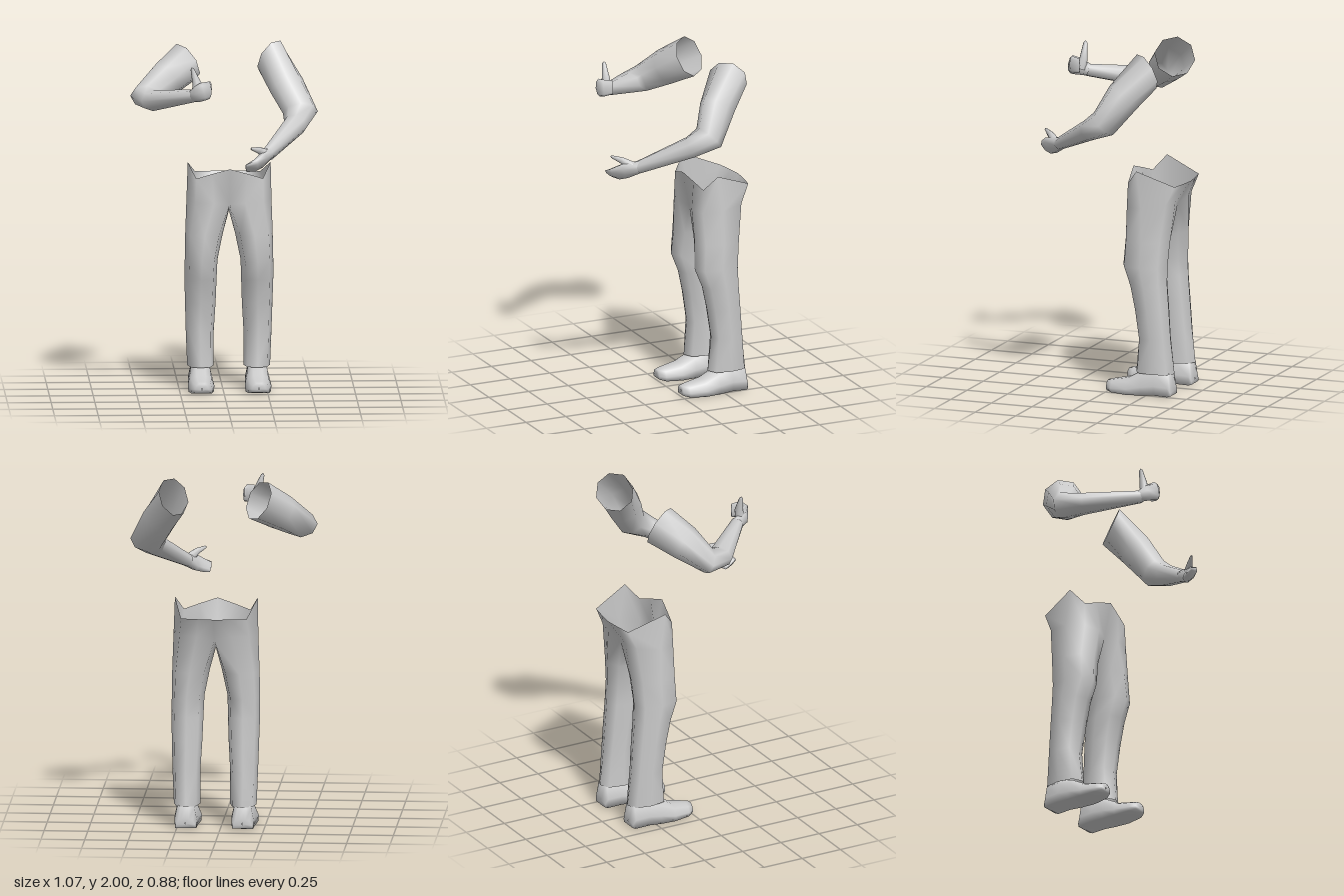
import * as THREE from 'three';
import { mergeVertices, mergeGeometries } from 'three/addons/utils/BufferGeometryUtils.js';

const material = new THREE.MeshStandardMaterial({ color: 0xcccccc, side: THREE.DoubleSide });

// Skin a list of equal-length rings of [x, y, z] points; skip(i, k) leaves out a quad
function skin(rings, { skip = () => false, flip = false } = {}) {
  const n = rings[0].length;
  const index = [];
  for (let i = 0; i < rings.length - 1; i++) {
    for (let k = 0; k < n; k++) {
      if (skip(i, k)) continue;
      const a = i * n + k, b = i * n + (k + 1) % n, c = b + n, d = a + n;
      index.push(...(flip ? [a, c, b, a, d, c] : [a, b, c, a, c, d]));
    }
  }
  const geo = new THREE.BufferGeometry();
  geo.setAttribute('position', new THREE.Float32BufferAttribute(rings.flat(2), 3));
  geo.setIndex(index);
  return geo;
}

function smooth(geo) {
  const merged = mergeVertices(geo, 1e-4);
  merged.computeVertexNormals();
  return merged;
}

function addMesh(parent, name, geo) {
  const mesh = new THREE.Mesh(geo, material);
  mesh.name = name;
  parent.add(mesh);
  return mesh;
}

// Limb along stations [x, y, z, a, b]: a is the half-size along ref, b across it
function limb(stations, ref, startDir) {
  const sides = 8;
  const p = stations.map(s => new THREE.Vector3(s[0], s[1], s[2]));
  const step = i => p[i + 1].clone().sub(p[i]).normalize();
  const rings = stations.map(([, , , a, b], i) => {
    const t = new THREE.Vector3();
    if (i > 0) t.add(step(i - 1));
    if (i < p.length - 1) t.add(step(i));
    if (i === 0 && startDir) t.set(...startDir);
    t.normalize();
    const u = new THREE.Vector3(...ref);
    u.addScaledVector(t, -u.dot(t)).normalize();
    const v = t.clone().cross(u);
    return Array.from({ length: sides }, (_, k) => {
      const w = k / sides * Math.PI * 2;
      return p[i].clone().addScaledVector(u, a * Math.cos(w)).addScaledVector(v, b * Math.sin(w)).toArray();
    });
  });
  return smooth(skin(rings));
}

// One half of the trousers, from the hem to the waist
function trouserHalf(side) {
  const leg = [ // y, inner x, outer x, front z, back z
    [0.13, 0.085, 0.237, -0.17, -0.405],
    [0.33, 0.085, 0.245, -0.19, -0.382],
    [0.50, 0.075, 0.25, -0.165, -0.37],
    [0.64, 0.07, 0.254, -0.135, -0.36],
    [0.75, 0.066, 0.253, -0.09, -0.36],
    [0.90, 0.035, 0.25, -0.098, -0.37],
  ];
  const c = 0.76;
  const octagon = [[-c, c], [0, 1], [c, c], [1, 0], [c, -c], [0, -1], [-c, -c], [-1, 0]];
  const rings = leg.map(([y, x0, x1, z0, z1]) => octagon.map(([u, w]) =>
    [(x0 + x1) / 2 + u * (x1 - x0) / 2, y, (z0 + z1) / 2 + w * (z0 - z1) / 2]));
  // Hip, joined to the other half along the centre line
  rings.push([[0, 1.08, -0.13], [0.09, 1.09, -0.103], [0.195, 1.09, -0.125], [0.243, 1.1, -0.23],
    [0.2, 1.12, -0.365], [0.1, 1.12, -0.385], [0, 1.09, -0.36], [0, 1.03, -0.24]]);
  // Open waist with raised side points
  rings.push([[0, 1.29, -0.088], [0.1, 1.26, -0.11], [0.19, 1.23, -0.13], [0.237, 1.315, -0.2],
    [0.187, 1.23, -0.415], [0.09, 1.23, -0.43], [0, 1.23, -0.44], [0, 1.2, -0.24]]);
  const top = rings.length - 2;
  return skin(rings.map(r => r.map(([x, y, z]) => [x * side, y, z])),
    { skip: (i, k) => i === top && k > 5, flip: side < 0 });
}

// Shoe, lofted from toe to heel
function shoe() {
  const stations = [ // z, half width, height, sole y
    [0, 0.002, 0.04, 0.03], [0, 0.04, 0.064, 0.014], [-0.035, 0.062, 0.072, 0.004], [-0.13, 0.076, 0.092, 0],
    [-0.22, 0.072, 0.14, 0.002], [-0.30, 0.068, 0.16, 0.008], [-0.385, 0.064, 0.155, 0.004],
    [-0.40, 0.055, 0.06, 0.008], [-0.40, 0.002, 0.04, 0.03],
  ];
  const outline = [[-0.95, 0], [-1, 0.35], [-0.78, 0.8], [-0.35, 1], [0.35, 1], [0.78, 0.8], [1, 0.35], [0.95, 0]];
  return smooth(skin(stations.map(([z, hw, top, low]) =>
    outline.map(([u, v]) => [u * hw, low + v * (top - low), z]))));
}

export function createModel() {
  const model = new THREE.Group();
  model.name = 'figureParts';

  // Trousers and shoes share a centre line slightly off x = 0
  const lower = new THREE.Group();
  lower.name = 'lowerBody';
  lower.position.x = 0.035;
  model.add(lower);
  addMesh(lower, 'trousers', smooth(mergeGeometries([trouserHalf(1), trouserHalf(-1)])));
  const shoeGeo = shoe();
  for (const [name, s] of [['leftShoe', 1], ['rightShoe', -1]]) {
    addMesh(lower, name, shoeGeo).position.x = 0.163 * s;
  }

  // Left arm, lowered with the hand forward
  const left = new THREE.Group();
  left.name = 'leftArm';
  model.add(left);
  addMesh(left, 'leftSleeve', limb([
    [0.275, 1.908, -0.265, 0.112, 0.112], [0.36, 1.765, -0.155, 0.103, 0.103],
    [0.437, 1.62, -0.065, 0.1, 0.085], [0.405, 1.567, 0.035, 0.07, 0.062],
    [0.235, 1.43, 0.285, 0.04, 0.036],
  ], [1, 0, 0], [0.7, -0.38, 0.6]));
  addMesh(left, 'leftHand', limb([
    [0.245, 1.437, 0.27, 0.036, 0.034], [0.2, 1.408, 0.35, 0.056, 0.032],
    [0.16, 1.385, 0.388, 0.052, 0.026], [0.11, 1.37, 0.402, 0.042, 0.012], [0.106, 1.369, 0.402, 0.001, 0.001],
  ], [0, 0.6, 0.8]));
  addMesh(left, 'leftThumb', limb([
    [0.225, 1.435, 0.32, 0.034, 0.026], [0.185, 1.468, 0.365, 0.02, 0.016],
    [0.14, 1.484, 0.41, 0.008, 0.007], [0.137, 1.486, 0.415, 0.001, 0.001],
  ], [0, 1, 0]));

  // Right arm, raised with the forearm bent across
  const right = new THREE.Group();
  right.name = 'rightArm';
  model.add(right);
  addMesh(right, 'rightSleeve', limb([
    [-0.21, 1.89, -0.245, 0.118, 0.118], [-0.33, 1.805, -0.145, 0.108, 0.103],
    [-0.44, 1.715, -0.05, 0.098, 0.075], [-0.41, 1.71, 0.045, 0.078, 0.06],
    [-0.175, 1.775, 0.29, 0.036, 0.036],
  ], [1, 0, 0], [-0.75, -0.42, 0.5]));
  addMesh(right, 'rightHand', limb([
    [-0.19, 1.772, 0.275, 0.034, 0.032], [-0.165, 1.793, 0.33, 0.05, 0.03],
    [-0.13, 1.81, 0.36, 0.052, 0.022], [-0.1, 1.815, 0.345, 0.05, 0.016],
    [-0.092, 1.815, 0.295, 0.042, 0.009], [-0.092, 1.815, 0.291, 0.001, 0.001],
  ], [0, 1, 0]));
  addMesh(right, 'rightThumb', limb([
    [-0.165, 1.785, 0.315, 0.034, 0.034], [-0.168, 1.845, 0.3, 0.026, 0.024],
    [-0.195, 1.93, 0.3, 0.01, 0.012], [-0.197, 1.94, 0.3, 0.001, 0.001],
  ], [1, 0, 0]));

  return model;
}
